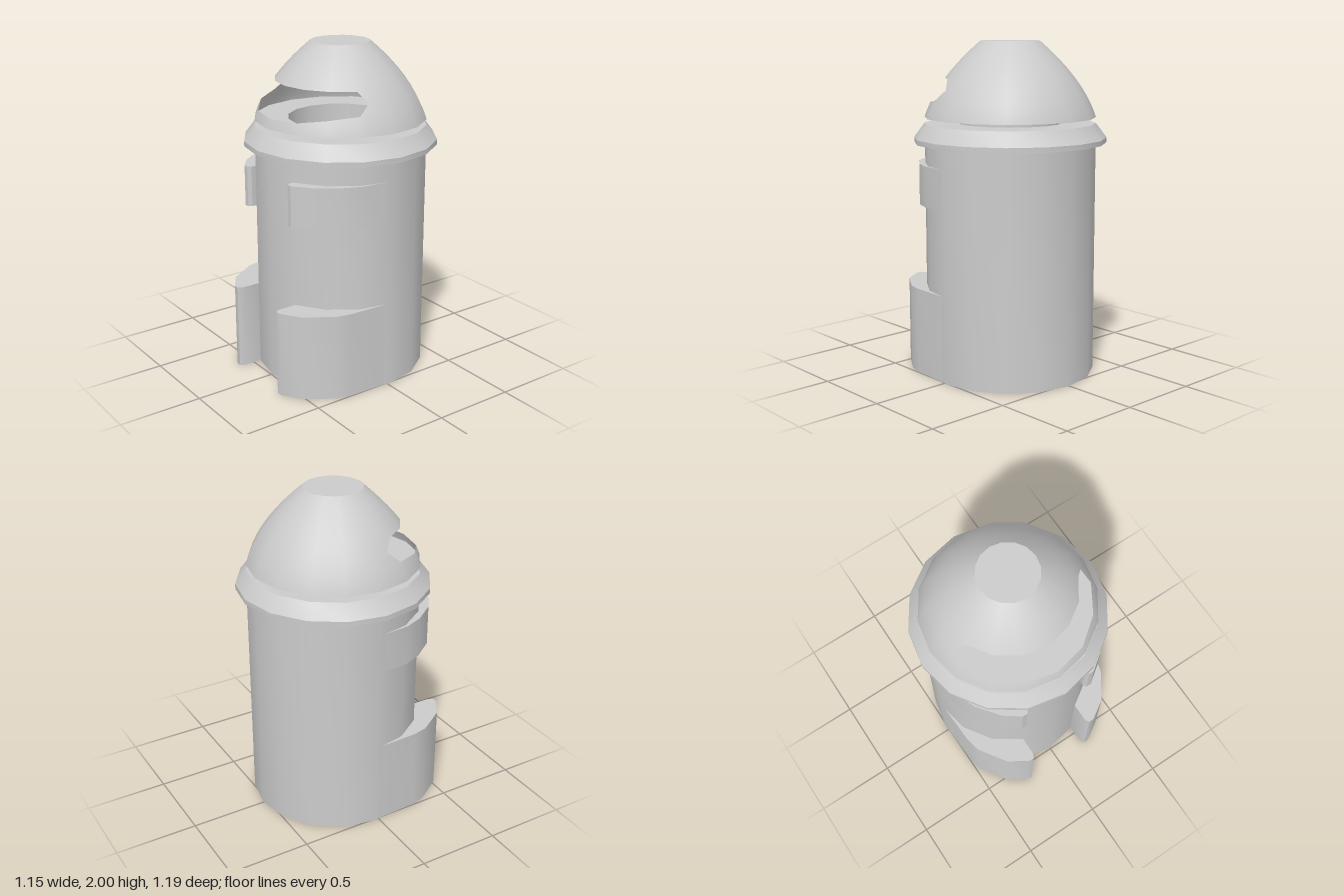
import * as THREE from 'three';
import { toCreasedNormals } from 'three/addons/utils/BufferGeometryUtils.js';

const SIDES = 16;
const DEG = Math.PI / 180;
const material = new THREE.MeshStandardMaterial({ color: 0xcccccc, side: THREE.DoubleSide });

function addMesh(parent, name, geometry) {
  const mesh = new THREE.Mesh(geometry, material);
  mesh.name = name;
  parent.add(mesh);
  return mesh;
}

// Turned part with sharp profile corners and smooth sides
function turned(profile) {
  const points = profile.map(([r, y]) => new THREE.Vector2(r, y));
  return toCreasedNormals(new THREE.LatheGeometry(points, SIDES), 0.6);
}

// Plan outline [x, z] raised from y0 to y1, mirrored by side
function raised(outline, side, y0, y1) {
  const shape = new THREE.Shape(outline.map(([x, z]) => new THREE.Vector2(x * side, -z)));
  const geometry = new THREE.ExtrudeGeometry(shape, { depth: y1 - y0, bevelEnabled: false });
  geometry.rotateX(-Math.PI / 2).translate(0, y0, 0);
  return toCreasedNormals(geometry, 0.6);
}

// Dome radius and its slope at a given height
const domeRadius = (y) => 0.512 - 0.323 * (y - 1.55) - 0.947 * (y - 1.55) ** 2;
const domeSlope = (y) => -0.323 - 1.894 * (y - 1.55);

// Columns around the dome: the sixteen corners plus the two ends of the visor
const SLOT_END = 76;
const columns = [-SLOT_END, SLOT_END];
for (let i = 0; i <= SIDES; i++) columns.push(-180 + (i * 360) / SIDES);
columns.sort((a, b) => a - b);

// Lower and upper rims of the visor opening by angle from the front
const lowerRim = [1.605, 1.61, 1.637, 1.657];
const slotRim = (angle, upper) => {
  const a = Math.abs(angle);
  if (a >= SLOT_END) return 1.72;
  return upper ? 1.78 : lowerRim[Math.round(a / 22.5)];
};

// Curved shell between two heights that vary with the angle
function domeShell(bottom, top, rows) {
  const position = [], normal = [], index = [];
  columns.forEach((angle, i) => {
    const t = angle * DEG, step = 360 / SIDES;
    const fromCentre = (((angle + 360) % step) - step / 2) * DEG;
    const facet = Math.cos((step / 2) * DEG) / Math.cos(fromCentre);
    for (let j = 0; j <= rows; j++) {
      const y = THREE.MathUtils.lerp(bottom(angle), top(angle), j / rows);
      const r = domeRadius(y) * facet;
      position.push(r * Math.sin(t), y, r * Math.cos(t));
      const n = new THREE.Vector3(Math.sin(t), -domeSlope(y), Math.cos(t)).normalize();
      normal.push(n.x, n.y, n.z);
      if (i < columns.length - 1 && j < rows) {
        const a = i * (rows + 1) + j, b = a + rows + 1;
        index.push(a, b, b + 1, a, b + 1, a + 1);
      }
    }
  });
  const geometry = new THREE.BufferGeometry();
  geometry.setAttribute('position', new THREE.Float32BufferAttribute(position, 3));
  geometry.setAttribute('normal', new THREE.Float32BufferAttribute(normal, 3));
  geometry.setIndex(index);
  return geometry;
}

export function createModel() {
  const model = new THREE.Group();
  model.name = 'domedCanister';

  // Round parts share an axis slightly behind the centre
  const core = new THREE.Group();
  core.name = 'core';
  core.position.z = -0.02;
  model.add(core);

  addMesh(core, 'body', turned([[0, 0], [0.512, 0], [0.512, 1.4]]));
  addMesh(core, 'collar', turned([
    [0.512, 1.4], [0.576, 1.4], [0.576, 1.43], [0.512, 1.515], [0.31, 1.515],
  ]));
  // Hollow neck that widens into the dome floor
  addMesh(core, 'neck', turned([[0, 1.15], [0.31, 1.15], [0.31, 1.55], [0.512, 1.55]]));

  // Dome with the visor opening left between its two shells
  const dome = new THREE.Group();
  dome.name = 'dome';
  core.add(dome);
  addMesh(dome, 'lowerDome', domeShell(() => 1.55, (a) => slotRim(a, false), 3));
  addMesh(dome, 'upperDome', domeShell((a) => slotRim(a, true), () => 2, 5));
  const cap = addMesh(dome, 'domeCap', new THREE.CircleGeometry(domeRadius(2), SIDES));
  cap.rotation.x = -Math.PI / 2;
  cap.position.y = 2;

  // Wrap-around pads at the front: tall feet below, short bands above
  const foot = [
    [0.4, 0.02], [0.505, 0.02], [0.495, 0.26], [0.475, 0.35], [0.365, 0.515],
    [0.25, 0.59], [0.215, 0.592], [0.2, 0.565], [0.2, 0.4],
  ];
  const band = [
    [0.4, 0.02], [0.505, 0.02], [0.49, 0.18], [0.44, 0.3], [0.34, 0.43],
    [0.245, 0.5], [0.215, 0.5], [0.2, 0.48], [0.2, 0.4],
  ];
  for (const [label, side] of [['left', 1], ['right', -1]]) {
    addMesh(model, label + 'Foot', raised(foot, side, 0, 0.525));
    addMesh(model, label + 'Band', raised(band, side, 1.03, 1.275));
  }

  return model;
}
